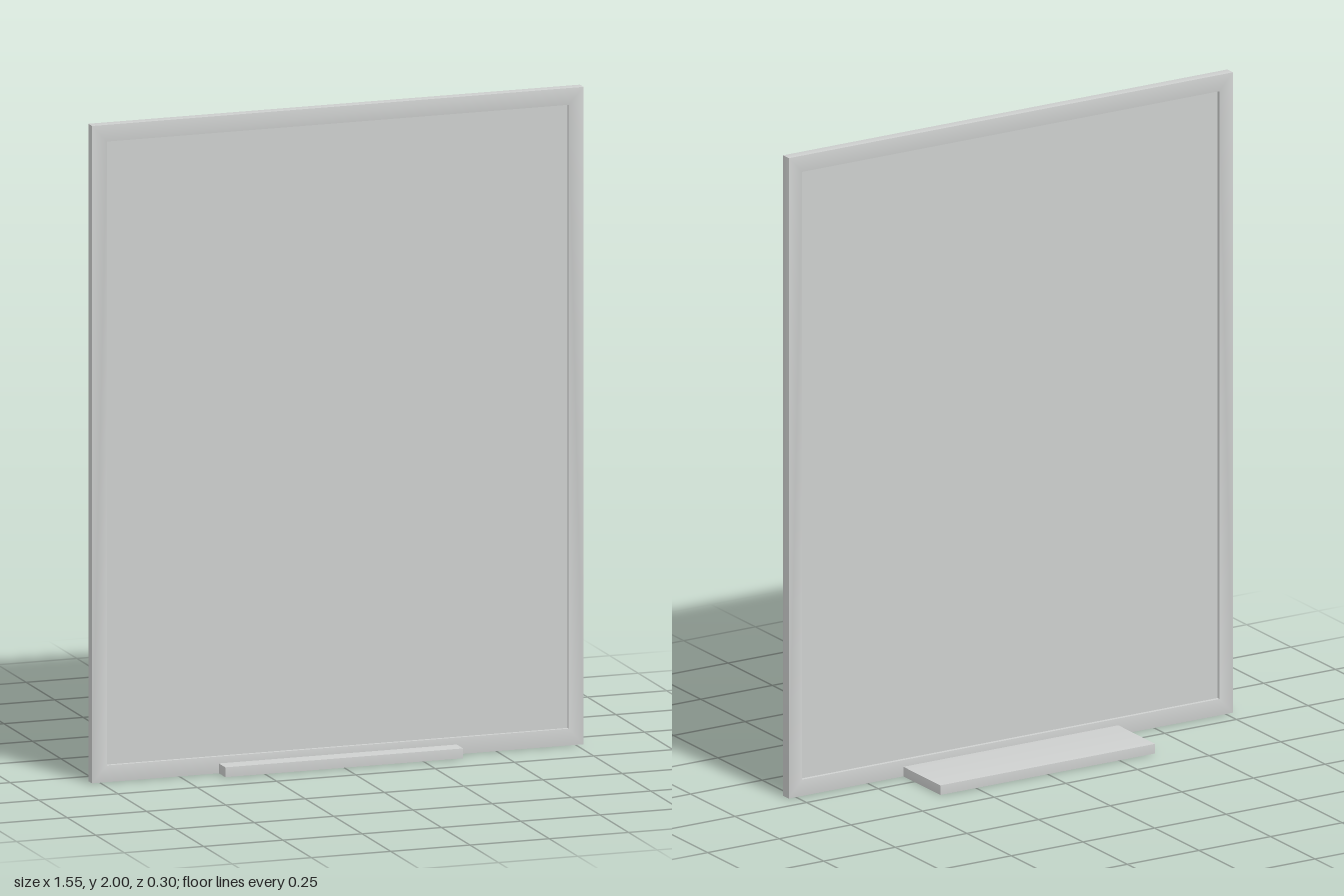
import * as THREE from 'three';

const W = 1.55, H = 2, DEPTH = 0.032, Z = 0.076;
const BAR_X = 0.047, BAR_Y = 0.051;

// Keep faces distinct, but lean corner normals slightly towards the neighbouring faces.
function softened(source, lean) {
  const geometry = source.index ? source.toNonIndexed() : source;
  const { position, normal } = geometry.attributes;
  const p = new THREE.Vector3(), n = new THREE.Vector3();
  const corners = new Map();
  const keyAt = (i) => p.fromBufferAttribute(position, i).toArray().map((v) => v.toFixed(4)).join();
  for (let i = 0; i < position.count; i++) {
    const key = keyAt(i);
    n.fromBufferAttribute(normal, i);
    if (!corners.has(key)) corners.set(key, []);
    const faces = corners.get(key);
    if (!faces.some((f) => f.dot(n) > 0.99)) faces.push(n.clone());
  }
  for (let i = 0; i < position.count; i++) {
    n.fromBufferAttribute(normal, i);
    corners.get(keyAt(i)).forEach((f) => n.addScaledVector(f, lean));
    n.normalize();
    normal.setXYZ(i, n.x, n.y, n.z);
  }
  return geometry;
}

// Points of an upright rectangle, inset from the outer outline.
function outline(insetX, insetY) {
  const x = W / 2 - insetX;
  return [[-x, insetY], [x, insetY], [x, H - insetY], [-x, H - insetY]]
    .map(([px, py]) => new THREE.Vector2(px, py));
}

export function createModel() {
  const model = new THREE.Group();
  model.name = 'standingPanel';
  const grey = new THREE.MeshStandardMaterial({ color: 0xcdcfce });
  grey.name = 'lightGrey';

  const add = (name, geometry, x, y, z) => {
    const mesh = new THREE.Mesh(geometry, grey);
    mesh.name = name;
    mesh.position.set(x, y, z);
    model.add(mesh);
  };

  // Rectangular frame with an open middle
  const shape = new THREE.Shape(outline(0, 0));
  shape.holes.push(new THREE.Path(outline(BAR_X, BAR_Y).reverse()));
  const frame = new THREE.ExtrudeGeometry(shape, { depth: DEPTH, bevelEnabled: false });
  add('frame', softened(frame, 0.12), 0, 0, Z - DEPTH / 2);

  // Thin board recessed on both sides of the frame
  add('board', new THREE.BoxGeometry(W - 2 * BAR_X, H - 2 * BAR_Y, 0.01), 0, H / 2, Z);

  // Flat foot reaching further to the back
  add('foot', softened(new THREE.BoxGeometry(0.75, 0.03, 0.296), 0.08), 0, 0.015, 0);

  return model;
}
